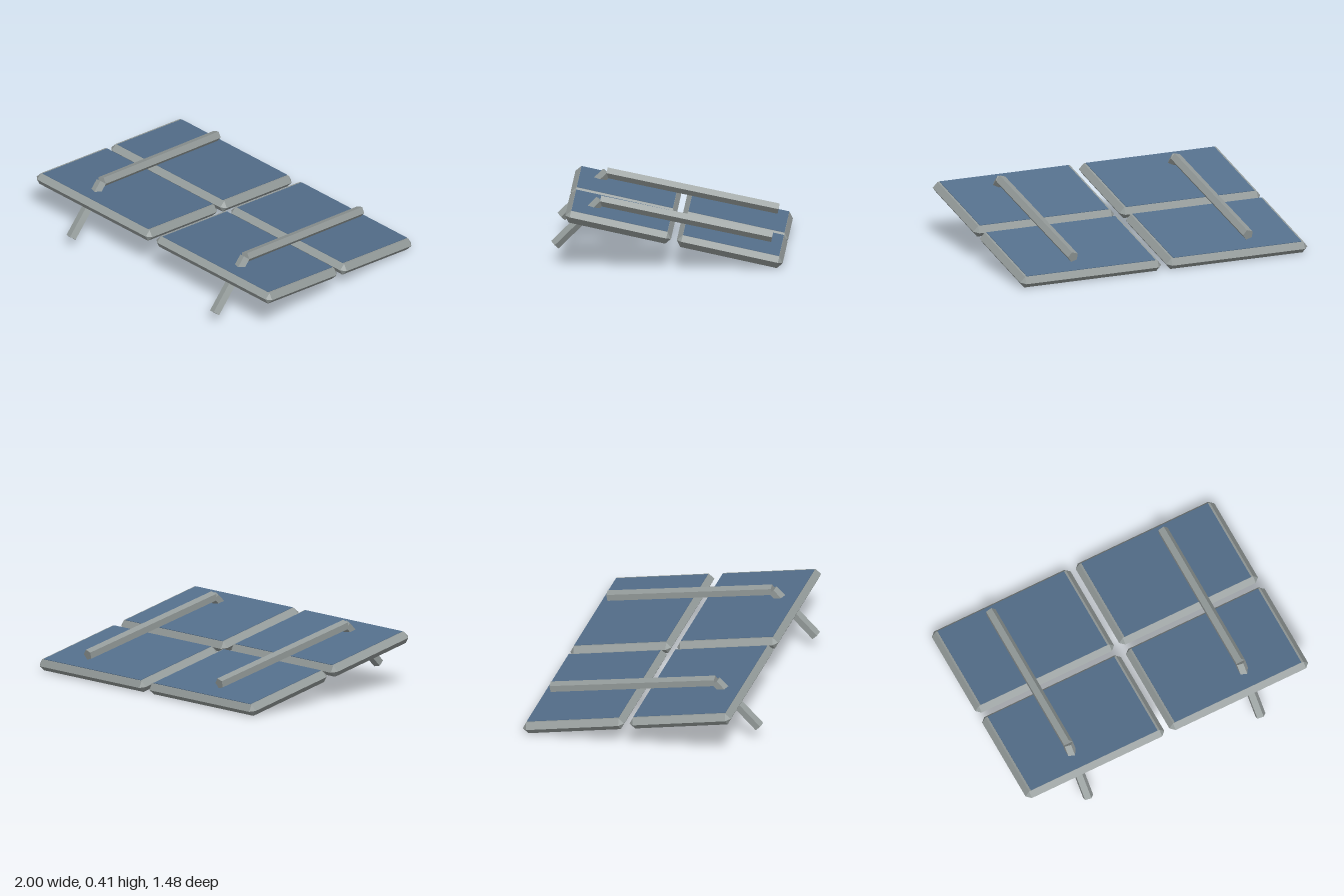
import * as THREE from 'three';
import { ConvexGeometry } from 'three/addons/geometries/ConvexGeometry.js';

const W = 0.982, L = 0.685, H = 0.076; // panel width, length, thickness
const BEVEL = 0.03;
const TILT = THREE.MathUtils.degToRad(-12.2);

// Slab with bevels meeting in a ridge half way up and clipped corners
function slabGeometry() {
  const pts = [];
  for (const sx of [-1, 1]) for (const sz of [-1, 1]) {
    const x = sx * W / 2, z = sz * L / 2;
    const xi = x - sx * BEVEL, zi = z - sz * BEVEL;
    pts.push(
      new THREE.Vector3(xi, H / 2, zi),
      new THREE.Vector3(xi, -H / 2, zi),
      new THREE.Vector3(x, 0, zi),
      new THREE.Vector3(xi, 0, z)
    );
  }
  return new ConvexGeometry(pts);
}

// Five-sided beam between two points in a plane of constant x
function beam(name, a, b, material) {
  const dir = new THREE.Vector3().subVectors(b, a);
  const geo = new THREE.CylinderGeometry(0.0354, 0.0354, dir.length(), 5, 1, false, Math.PI / 2);
  const mesh = new THREE.Mesh(geo, material);
  mesh.name = name;
  mesh.position.addVectors(a, b).multiplyScalar(0.5);
  mesh.quaternion.setFromUnitVectors(new THREE.Vector3(0, 1, 0), dir.normalize());
  return mesh;
}

export function createModel() {
  const model = new THREE.Group();
  model.name = 'solarArray';
  const metal = new THREE.MeshStandardMaterial({ name: 'greyMetal', color: 0x939a99, flatShading: true });
  const glass = new THREE.MeshStandardMaterial({ name: 'blueCells', color: 0x546f8b, flatShading: true });

  // Four tilted panels, each a frame with a thin cell plate on top
  const frameGeo = slabGeometry();
  const cellGeo = new THREE.BoxGeometry(0.896, 0.005, 0.622);
  for (const x of [-0.509, 0.509]) {
    for (const [row, y, z] of [['front', 0.256, 0.303], ['back', 0.1035, -0.403]]) {
      const panel = new THREE.Group();
      panel.name = row + 'Panel';
      const frame = new THREE.Mesh(frameGeo, metal);
      frame.name = 'panelFrame';
      const cells = new THREE.Mesh(cellGeo, glass);
      cells.name = 'cellPlate';
      cells.position.y = H / 2 + 0.0005;
      panel.add(frame, cells);
      panel.position.set(x, y, z);
      panel.rotation.x = TILT;
      model.add(panel);
    }
  }

  // Long rail above the panels and a slanted leg below each rail's high end
  for (const x of [-0.61, 0.609]) {
    const top = new THREE.Vector3(x, 0.373, 0.428);
    model.add(
      beam('rail', new THREE.Vector3(x, 0.148, -0.66), top, metal),
      beam('leg', new THREE.Vector3(x, 0.091, 0.715), top, metal)
    );
  }
  return model;
}
